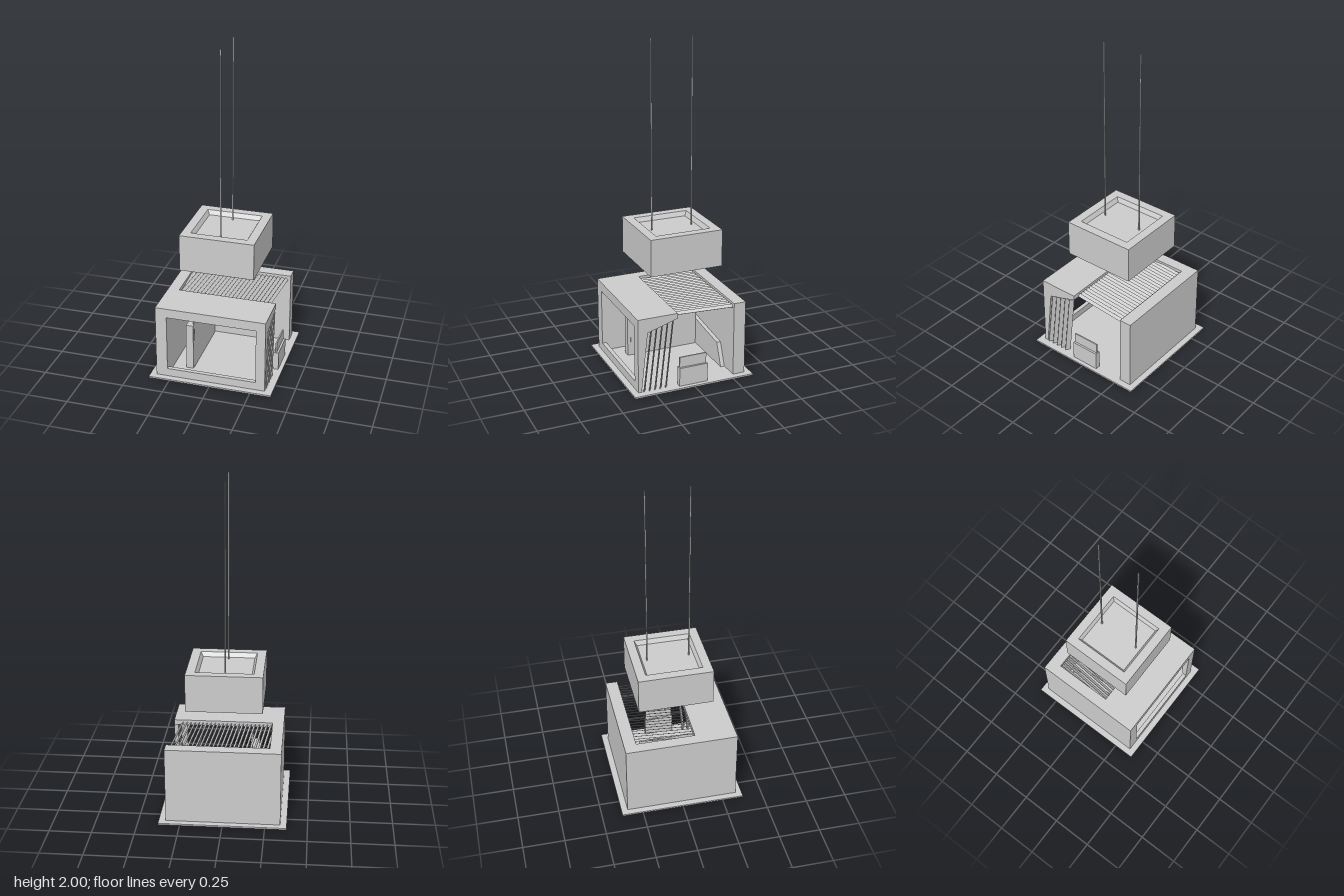
import * as THREE from 'three';

const material = new THREE.MeshStandardMaterial({ color: 0xcccccc, flatShading: true, side: THREE.DoubleSide });

export function createModel() {
  const model = new THREE.Group();

  function add(name, geometry, parent = model) {
    const mesh = new THREE.Mesh(geometry, material);
    mesh.name = name;
    parent.add(mesh);
    return mesh;
  }

  // Box given by its limits on each axis
  function box(name, [x0, x1], [y0, y1], [z0, z1], parent) {
    const g = new THREE.BoxGeometry(x1 - x0, y1 - y0, z1 - z0);
    g.translate((x0 + x1) / 2, (y0 + y1) / 2, (z0 + z1) / 2);
    return add(name, g, parent);
  }

  // Side profile of [z, y] points, extruded along x
  function sideProfile(name, points, x0, x1, parent) {
    const shape = new THREE.Shape(points.map(([z, y]) => new THREE.Vector2(-z, y)));
    const g = new THREE.ExtrudeGeometry(shape, { depth: x1 - x0, bevelEnabled: false });
    g.rotateY(Math.PI / 2);
    g.translate(x0, 0, 0);
    return add(name, g, parent);
  }

  function group(name) {
    const g = new THREE.Group();
    g.name = name;
    model.add(g);
    return g;
  }

  const top = 0.468;
  box('groundPlate', [-0.378, 0.378], [0, 0.01], [-0.378, 0.378]);

  // Walls: closed at the back and left, open on the right
  box('leftWall', [-0.34, -0.271], [0.005, top], [-0.34, 0.34]);
  box('backWall', [-0.271, 0.338], [0.005, top], [-0.34, -0.265]);

  // Front wall and roof edge around the window
  const front = group('frontWall');
  sideProfile('windowSill', [[0.34, 0.005], [0.34, 0.06], [0.314, 0.06], [0.32, 0.005]], -0.271, 0.275, front);
  sideProfile('windowHeader',
    [[0.34, 0.41], [0.34, top], [0.093, top], [0.093, 0.437], [0.28, 0.378]], -0.271, 0.275, front);
  sideProfile('windowJamb',
    [[0.34, 0.005], [0.34, top], [0.093, top], [0.093, 0.437], [0.28, 0.378], [0.32, 0.005]], 0.275, 0.332, front);

  // Tilted roof louvres, skewed in plan
  const louvres = group('roofLouvres');
  for (let i = 0; i < 24; i++) {
    const g = new THREE.BoxGeometry(0.022, 0.003, 0.36);
    g.rotateZ(-0.75);
    const p = g.attributes.position;
    for (let k = 0; k < p.count; k++) p.setX(k, p.getX(k) - 0.084 * p.getZ(k));
    g.translate(-0.268 + i * 0.0246, 0.447, -0.086);
    add('louvre', g, louvres);
  }

  // Leaning fins on the right side, cut by the sloping soffit
  const fins = group('sideFins');
  for (let i = 0; i < 5; i++) {
    const z = 0.3 - i * 0.034;
    const g = new THREE.BoxGeometry(0.032, 1, 0.005);
    g.rotateY(-0.6);
    const p = g.attributes.position;
    for (let k = 0; k < p.count; k++) {
      const h = p.getY(k) + 0.5;
      const baseZ = z + p.getZ(k);
      const height = 0.378 + (0.28 - (baseZ - 0.043)) * 0.31;
      p.setXYZ(k, p.getX(k) + 0.322, 0.005 + h * (height - 0.005), baseZ - 0.045 * h);
    }
    add('fin', g, fins);
  }

  // Interior: partition, its taller panel and the low sloping back panel
  box('partition', [-0.19, -0.145], [0.005, 0.305], [-0.238, 0.22]);
  box('partitionPanel', [-0.152, -0.144], [0.005, 0.376], [-0.225, 0.2]);
  const low = new THREE.Shape([[-0.271, 0.005], [0.225, 0.005], [0.165, 0.148], [-0.271, 0.19]]
    .map(([x, y]) => new THREE.Vector2(x, y)));
  add('lowBackPanel', new THREE.ExtrudeGeometry(low, { depth: 0.025, bevelEnabled: false }).translate(0, 0, -0.264));

  // Stepped bench on the open side
  box('benchBase', [0.32, 0.353], [0.005, 0.125], [-0.091, 0.089]);
  box('benchBack', [0.333, 0.341], [0.125, 0.19], [-0.086, 0.084]);

  // Hanging block: outer sides, rim, chamfered recess and floor as stacked square rings
  const block = group('hangingBlock');
  const rings = [[0.225, 0.67], [0.225, 0.895], [0.171, 0.895], [0.156, 0.868]];
  const corners = [[-1, 1], [1, 1], [1, -1], [-1, -1]];
  const positions = [], index = [];
  for (const [r, y] of rings) for (const [sx, sz] of corners) positions.push(sx * r, y, sz * r - 0.011);
  for (let r = 0; r < rings.length - 1; r++) {
    for (let k = 0; k < 4; k++) {
      const a = r * 4 + k, b = r * 4 + (k + 1) % 4;
      index.push(a, b, b + 4, a, b + 4, a + 4);
    }
  }
  index.push(0, 2, 1, 0, 3, 2, 12, 13, 14, 12, 14, 15);
  const shell = new THREE.BufferGeometry();
  shell.setAttribute('position', new THREE.Float32BufferAttribute(positions, 3));
  shell.setIndex(index);
  const flat = shell.toNonIndexed();
  flat.computeVertexNormals();
  add('blockShell', flat, block);

  // Suspension rods
  for (const z of [0.116, -0.138]) box('suspensionRod', [-0.0035, 0.0035], [0.868, 2], [z - 0.0035, z + 0.0035], block);

  return model;
}
